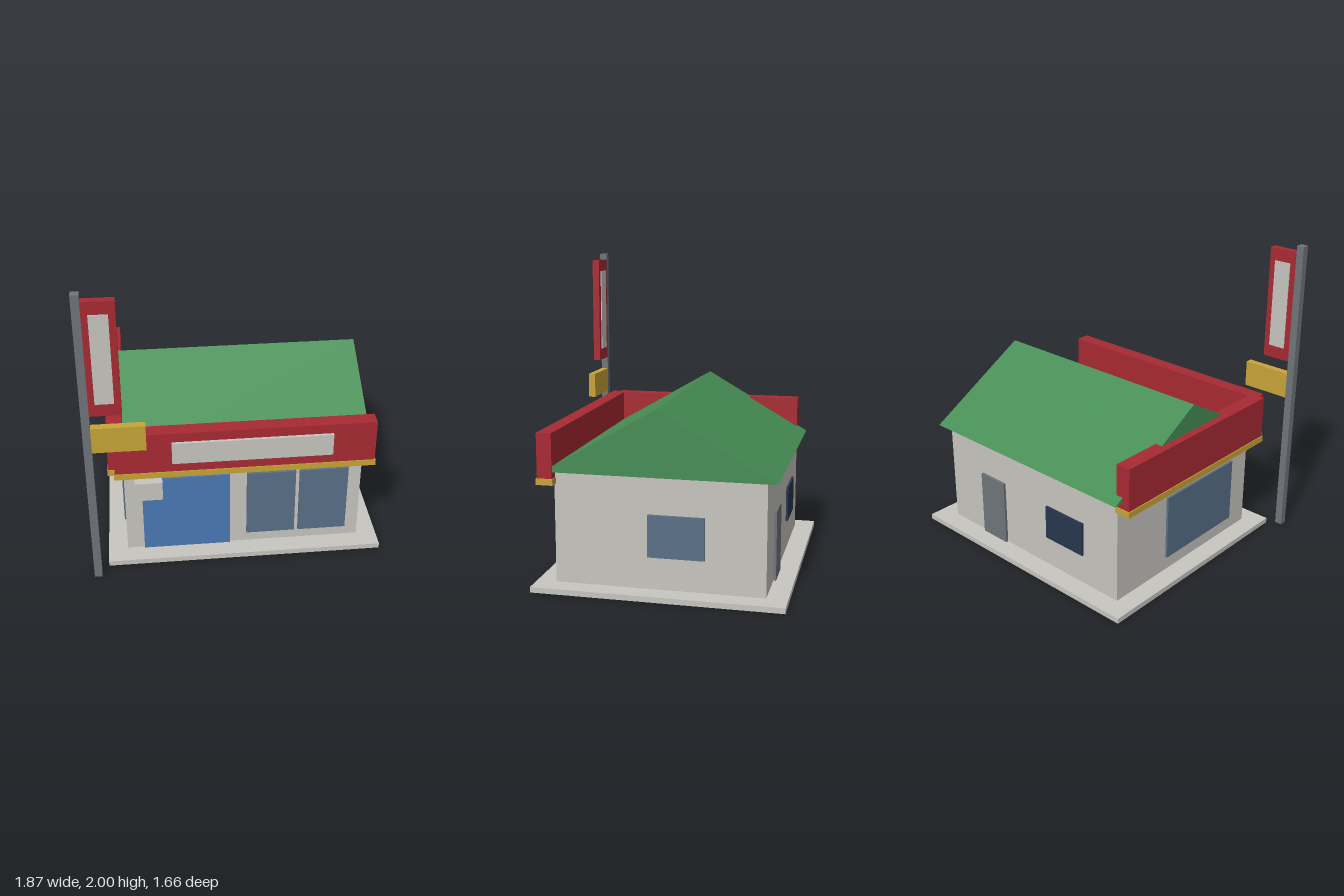
import * as THREE from 'three';

const mat = (name, color) => {
  const m = new THREE.MeshStandardMaterial({ color });
  m.name = name;
  return m;
};

export function createModel() {
  const model = new THREE.Group();
  model.name = 'cornerShop';

  const plaster = mat('plaster', 0xc8c6c0);
  const red = mat('red', 0xa92a33);
  const gold = mat('gold', 0xc8a538);
  const green = mat('green', 0x468e55);
  const blue = mat('doorBlue', 0x4a7ab5);
  const glass = mat('glass', 0x5a7088);
  const navy = mat('darkGlass', 0x28364e);
  const grey = mat('grey', 0x70757b);

  // Box given by its extents on each axis
  const box = (name, material, [x0, x1], [y0, y1], [z0, z1], parent = model) => {
    const mesh = new THREE.Mesh(new THREE.BoxGeometry(x1 - x0, y1 - y0, z1 - z0), material);
    mesh.position.set((x0 + x1) / 2, (y0 + y1) / 2, (z0 + z1) / 2);
    mesh.name = name;
    parent.add(mesh);
    return mesh;
  };

  // Base and walls
  box('baseSlab', plaster, [-0.845, 0.93], [0, 0.035], [-0.83, 0.73]);
  box('walls', plaster, [-0.72, 0.8], [0.03, 0.745], [-0.7, 0.605]);

  // Solid gable roof, ridge along x
  const gable = new THREE.Shape([
    new THREE.Vector2(-0.665, 0.74),
    new THREE.Vector2(0.765, 0.74),
    new THREE.Vector2(0.05, 1.153),
  ]);
  const roofGeometry = new THREE.ExtrudeGeometry(gable, { depth: 1.61, bevelEnabled: false });
  roofGeometry.rotateY(Math.PI / 2);
  const roof = new THREE.Mesh(roofGeometry, green);
  roof.position.x = -0.76;
  roof.name = 'roof';
  model.add(roof);

  // Fascia boards with gold trim below
  box('frontFascia', red, [-0.77, 0.857], [0.7, 0.98], [0.6, 0.695]);
  box('sideFascia', red, [-0.81, -0.712], [0.7, 0.98], [-0.7, 0.645]);
  box('frontTrim', gold, [-0.776, 0.863], [0.66, 0.7], [0.595, 0.701]);
  box('sideTrim', gold, [-0.816, -0.706], [0.66, 0.7], [-0.706, 0.651]);
  box('fasciaSign', plaster, [-0.415, 0.585], [0.768, 0.917], [0.69, 0.714]);

  // Shop front
  box('frontDoor', blue, [-0.61, -0.048], [0.02, 0.588], [0.6, 0.617]);
  for (const x of [0.06, 0.4]) {
    box('frontWindow', glass, [x, x + 0.315], [0.11, 0.588], [0.6, 0.622]);
  }
  box('wallUnit', plaster, [-0.652, -0.48], [0.5, 0.63], [0.6, 0.715]);

  // Side and back openings
  box('leftWindow', glass, [0.79, 0.82], [0.24, 0.502], [-0.33, 0.02]);
  box('rightWindow', glass, [-0.735, -0.71], [0.13, 0.565], [-0.24, 0.43]);
  box('backDoor', grey, [0.27, 0.49], [0.02, 0.48], [-0.717, -0.69]);
  box('backWindow', navy, [-0.44, -0.12], [0.24, 0.47], [-0.714, -0.69]);

  // Roadside sign on a tall post
  const sign = new THREE.Group();
  sign.name = 'poleSign';
  model.add(sign);
  const depth = [0.777, 0.825];
  box('pole', grey, [-0.937, -0.888], [0, 2], depth, sign);
  box('signBoard', red, [-0.888, -0.698], [1.22, 1.957], depth, sign);
  box('signPanel', plaster, [-0.85, -0.738], [1.303, 1.877], [0.771, 0.831], sign);
  box('lowerSign', gold, [-0.888, -0.567], [0.962, 1.133], depth, sign);

  return model;
}
